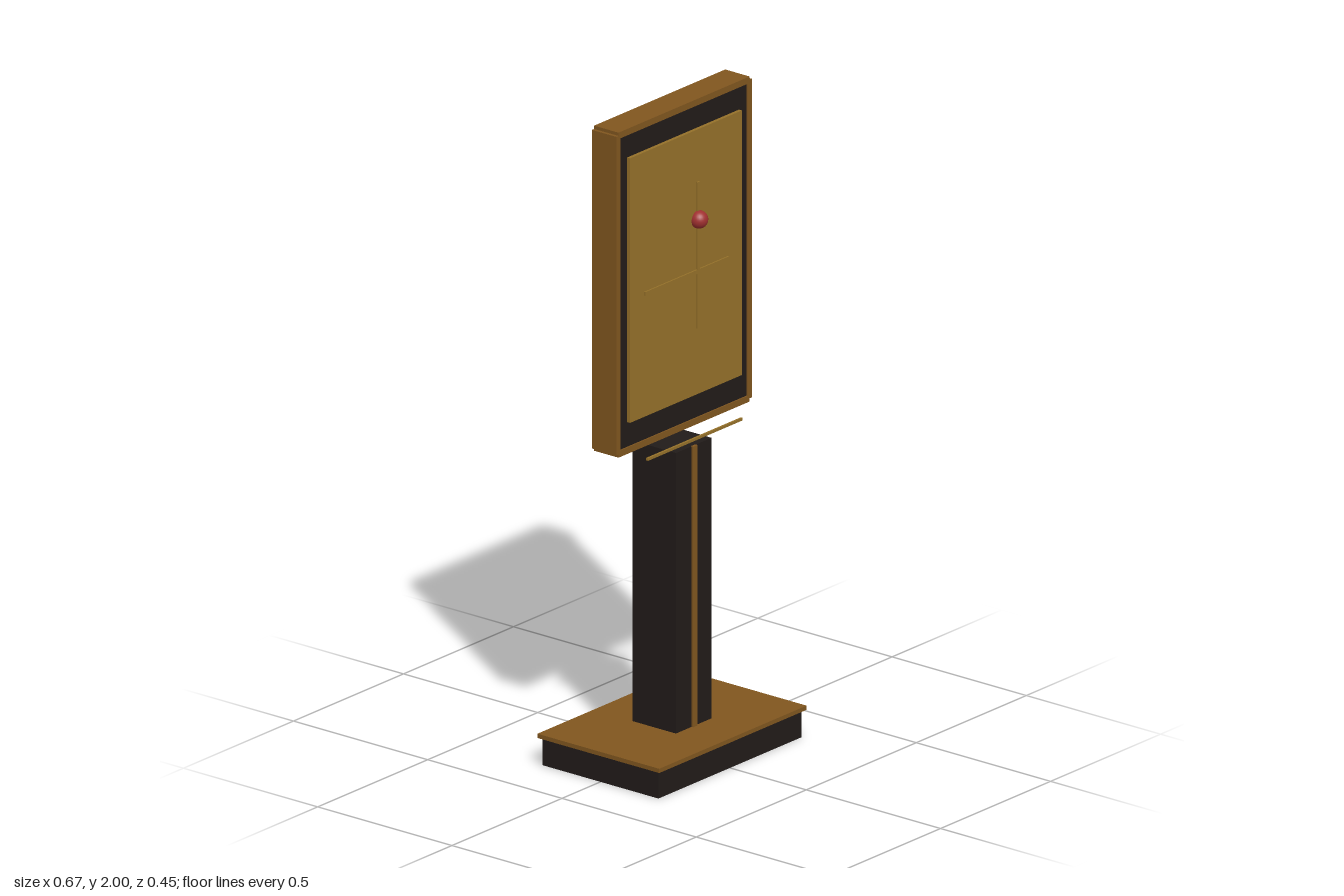
import * as THREE from 'three';

const mat = (color) => new THREE.MeshStandardMaterial({ color });

export function createModel() {
  const model = new THREE.Group();
  const black = mat(0x211b19), bronze = mat(0x80561f), gold = mat(0x947029), red = mat(0xa03030);

  // Box given by its minimum and maximum corners
  function box(name, material, [x0, y0, z0], [x1, y1, z1], parent = model) {
    const mesh = new THREE.Mesh(new THREE.BoxGeometry(x1 - x0, y1 - y0, z1 - z0), material);
    mesh.position.set((x0 + x1) / 2, (y0 + y1) / 2, (z0 + z1) / 2);
    mesh.name = name;
    parent.add(mesh);
    return mesh;
  }

  // Foot and post
  box('base', black, [-0.325, 0, -0.216], [0.325, 0.086, 0.216]);
  box('basePlate', bronze, [-0.335, 0.084, -0.227], [0.335, 0.097, 0.227]);
  box('post', black, [-0.081, 0.097, -0.081], [0.081, 0.96, 0.081]);
  box('postStrip', bronze, [-0.01, 0.097, 0.078], [0.01, 0.96, 0.087]);
  box('lightBar', gold, [-0.215, 0.976, 0.08], [0.215, 0.984, 0.087]);

  // Display case with a bronze frame around it
  const display = new THREE.Group();
  display.name = 'display';
  model.add(display);
  box('casePanel', black, [-0.298, 1.01, -0.043], [0.298, 1.99, 0.041], display);
  for (const s of [-1, 1]) {
    const side = s < 0 ? 'right' : 'left';
    box(side + 'FrameRail', bronze, [s * 0.298 - 0.01, 1.01, -0.046], [s * 0.298 + 0.01, 1.99, 0.045], display);
    const y = 1.5 + s * 0.49;
    box(s < 0 ? 'bottomFrameRail' : 'topFrameRail', bronze, [-0.298, y - 0.01, -0.046], [0.298, y + 0.01, 0.045], display);
  }

  // Screen with map lines and marker
  box('screen', gold, [-0.254, 1.096, 0.04], [0.254, 1.91, 0.052], display);
  box('horizontalLine', gold, [-0.19, 1.469, 0.05], [0.19, 1.481, 0.057], display);
  box('verticalLine', gold, [0.046, 1.3, 0.05], [0.058, 1.75, 0.057], display);
  const marker = new THREE.Mesh(new THREE.SphereGeometry(0.027, 24, 16), red);
  marker.name = 'marker';
  marker.position.set(0.052, 1.635, 0.058);
  display.add(marker);

  return model;
}
